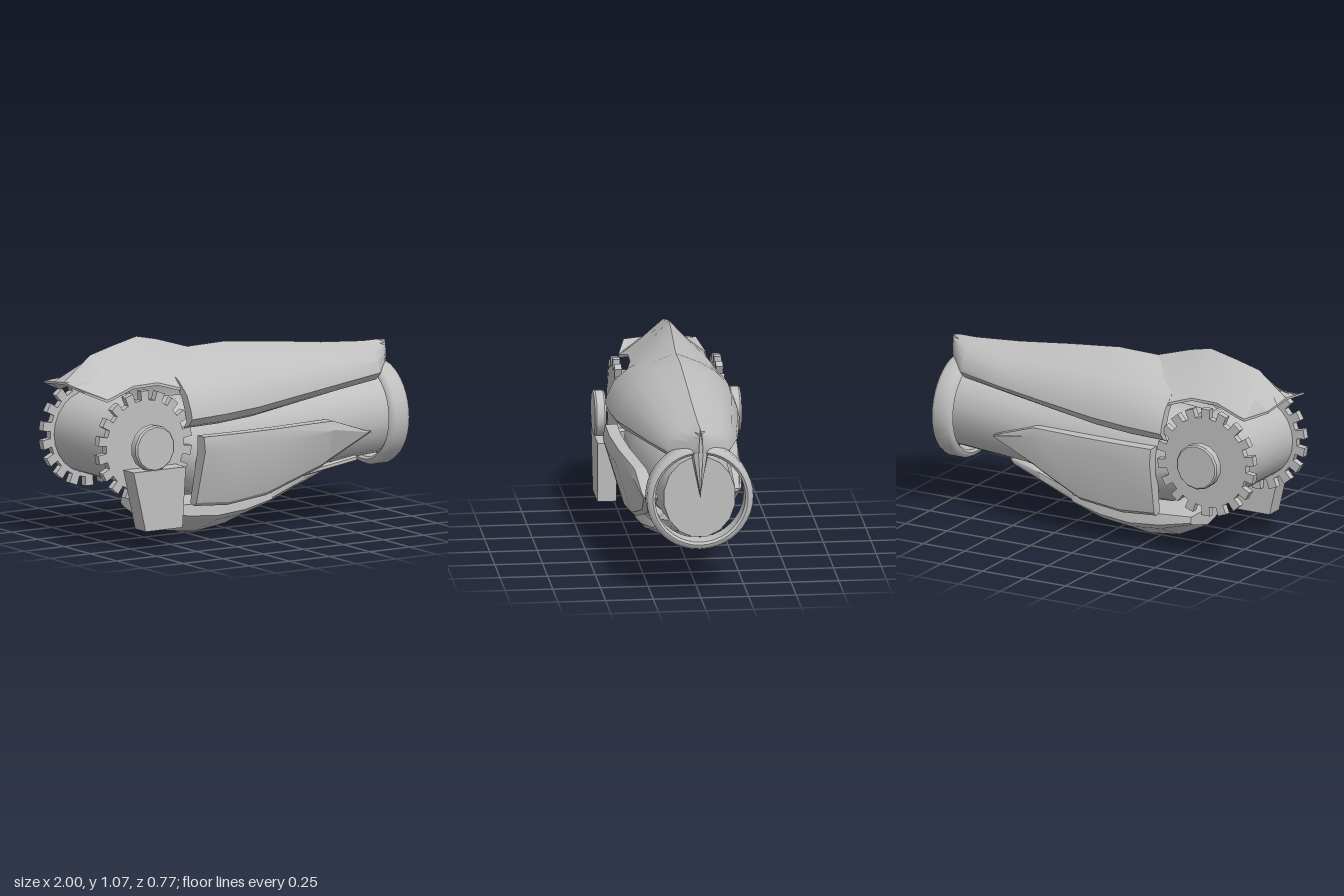
import * as THREE from 'three';
import { toCreasedNormals } from 'three/addons/utils/BufferGeometryUtils.js';

const steel = new THREE.MeshStandardMaterial({ color: 0xc0c0c0 });
steel.name = 'steel grey';

function part(parent, name, geometry, crease = 0.5) {
  const mesh = new THREE.Mesh(toCreasedNormals(geometry, crease), steel);
  mesh.name = name;
  parent.add(mesh);
  return mesh;
}

// Closed skin through cross-sections [x, [[z, y], ...]] ordered by rising x
function loft(sections) {
  const n = sections[0][1].length;
  const pos = [], idx = [];
  const loops = sections.map(([x, pts]) => {
    const flat = pts.map(([z, y]) => new THREE.Vector2(-z, y));
    if (THREE.ShapeUtils.area(flat) < 0) flat.reverse();
    flat.forEach((p) => pos.push(x, p.y, -p.x));
    return flat;
  });
  for (let i = 0; i < loops.length - 1; i++) {
    for (let j = 0; j < n; j++) {
      const a = i * n + j, b = i * n + (j + 1) % n;
      idx.push(a, b, b + n, a, b + n, a + n);
    }
  }
  const last = (loops.length - 1) * n;
  THREE.ShapeUtils.triangulateShape(loops[0], []).forEach(([a, b, c]) => idx.push(c, b, a));
  THREE.ShapeUtils.triangulateShape(loops[loops.length - 1], [])
    .forEach(([a, b, c]) => idx.push(last + a, last + b, last + c));
  const g = new THREE.BufferGeometry();
  g.setAttribute('position', new THREE.Float32BufferAttribute(pos, 3));
  g.setIndex(idx);
  return g.toNonIndexed();
}

// Thin arch: profile holds [fraction of width, fraction of drop] from ridge to rim;
// the inner face is narrowed by inset and lowered by t
function arch(profile, inset, top, rim, front, back, t) {
  const both = (k, dy) => {
    const side = (w) => profile.map(([u, v]) => [u * w * k, top - v * (top - rim) - dy]);
    return [...side(-back).slice(1).reverse(), ...side(front)];
  };
  return [...both(1, 0), ...both(inset, t).reverse()];
}

function ellipse(z, y, rz, ry, n = 16) {
  return Array.from({ length: n }, (_, i) => {
    const a = (i + 0.5) / n * Math.PI * 2;
    return [z + rz * Math.cos(a), y + ry * Math.sin(a)];
  });
}

function gearShape(teeth, outer, root) {
  const pts = [];
  for (let i = 0; i < teeth; i++) {
    [[-0.27, root], [-0.25, outer], [0.25, outer], [0.27, root]].forEach(([o, r]) => {
      const a = (i + o) / teeth * Math.PI * 2 + Math.PI / 2;
      pts.push(new THREE.Vector2(r * Math.cos(a), r * Math.sin(a)));
    });
  }
  return new THREE.Shape(pts);
}

function lathe(points, n) {
  return new THREE.LatheGeometry(points.map(([r, y]) => new THREE.Vector2(r, y)), n);
}

export function createModel() {
  const model = new THREE.Group();
  model.name = 'armouredForearm';

  // Inner arm
  part(model, 'armCore', loft([
    [-0.5, ellipse(0, 0.5, 0.22, 0.22)],
    [-0.35, ellipse(0, 0.47, 0.26, 0.26)],
    [0, ellipse(0, 0.46, 0.26, 0.27)],
    [0.5, ellipse(0, 0.5, 0.22, 0.22)],
    [0.94, ellipse(0, 0.53, 0.19, 0.22)],
  ]));

  // Upper ridged shell, a little wider in front, with an inward-sloping rim
  const shellProfile = [[0, 0], [0.36, 0.14], [0.64, 0.29], [0.86, 0.5], [0.97, 0.75], [1, 0.88],
    [0.91, 1]];
  part(model, 'upperShell', loft([
    [-0.43, 0.945, 0.63, 0.35, 0.32, 0.02], [-0.22, 0.985, 0.635, 0.35, 0.32, 0.02],
    [0, 0.99, 0.65, 0.335, 0.31, 0.02], [0.3, 0.96, 0.685, 0.285, 0.275, 0.02],
    [0.6, 0.925, 0.72, 0.235, 0.235, 0.02], [0.86, 0.905, 0.74, 0.17, 0.17, 0.02],
    [0.95, 0.905, 0.77, 0.08, 0.08, 0.015], [1, 0.9, 0.79, 0.01, 0.01, 0.005],
  ].map(([x, ...rest]) => [x, arch(shellProfile, 0.84, ...rest)])));

  // Elbow crest
  const crestProfile = [[0, 0], [0.5, 0.52], [1, 1]];
  part(model, 'elbowCrest', loft([
    [-1, 0.87, 0.85, 0.19, 0.012], [-0.88, 0.965, 0.80, 0.23, 0.015],
    [-0.84, 0.998, 0.81, 0.225, 0.015], [-0.7, 1.035, 0.85, 0.2, 0.015],
    [-0.55, 1.07, 0.855, 0.205, 0.015], [-0.43, 1.045, 0.82, 0.24, 0.015],
    [-0.2, 0.975, 0.82, 0.25, 0.015],
  ].map(([x, top, rim, w, t]) => [x, arch(crestProfile, 1, top, rim, w, w, t)])), 0.4);

  // Wrist ring and the fang over it
  const ring = part(model, 'wristRing', lathe([
    [0.237, -0.05], [0.25, -0.06], [0.27, -0.055], [0.28, -0.035], [0.28, 0.035],
    [0.27, 0.055], [0.25, 0.06], [0.237, 0.05], [0.237, -0.05],
  ], 40), 0.9);
  ring.rotation.z = -Math.PI / 2;
  ring.position.set(0.92, 0.53, 0);
  const fang = (w) => [[-w, 0.79], [0, 0.895], [w, 0.79], [0, 0.54]];
  part(model, 'wristFang', loft([[0.94, fang(0.05)], [0.97, fang(0.04)], [0.99, fang(0.012)]]));

  // Elbow barrel, gears and hub caps
  const elbow = new THREE.Group();
  elbow.name = 'elbowJoint';
  elbow.position.set(-0.68, 0.545, 0);
  model.add(elbow);
  const barrel = part(elbow, 'elbowBarrel', new THREE.CylinderGeometry(0.22, 0.22, 0.5, 24));
  barrel.rotation.x = Math.PI / 2;
  for (const side of [1, -1]) {
    const gear = part(elbow, side > 0 ? 'frontGear' : 'backGear', new THREE.ExtrudeGeometry(
      gearShape(18, 0.292, 0.243), { depth: 0.038, bevelEnabled: false }));
    gear.position.z = side > 0 ? 0.245 : -0.286;
    const hub = part(elbow, side > 0 ? 'frontHub' : 'backHub', lathe([
      [0, -0.03], [0.114, -0.03], [0.122, -0.02], [0.122, 0.02], [0.114, 0.03], [0, 0.03],
    ], 14), 0.6);
    hub.rotation.x = Math.PI / 2;
    hub.position.z = side * 0.355;
  }

  // Tapered block hanging below the front hub
  const block = new THREE.Shape([[-0.74, 0.11], [-0.51, 0.11], [-0.49, 0.43], [-0.815, 0.43]]
    .map(([x, y]) => new THREE.Vector2(x, y)));
  part(model, 'hangingBlock', new THREE.ExtrudeGeometry(block, { depth: 0.1, bevelEnabled: false }))
    .position.z = 0.28;

  // Side panels, leaning in towards the bottom and the wrist
  const panel = (side, outer, lean, taper, tip) => loft([
    [-0.36, 0.19, 0.57], [-0.15, 0.175, 0.568], [0.1, 0.2, 0.565],
    [tip - 0.29, 0.31, 0.562], [tip - 0.25, 0.333, 0.56], [tip, 0.463, 0.475],
  ].map(([x, bottom, top]) => {
    const knee = bottom + 0.8 * (top - bottom);
    const face = outer - taper * Math.max(0, x + 0.05);
    const low = face - (knee - bottom) * lean;
    return [x, [[face - 0.012, top], [face, knee], [low, bottom + 0.02], [low - 0.025, bottom],
      [low - 0.06, bottom + 0.01], [face - 0.075, knee], [face - 0.075, top]]
      .map(([z, y]) => [side * z, y])];
  }));
  part(model, 'frontPanel', panel(1, 0.368, 0.28, 0.12, 0.74));
  part(model, 'backPanel', panel(-1, 0.315, 0.16, 0.09, 0.62));

  // Boat-shaped keel under the arm
  const keel = (bottom, w, h) => [[0, bottom], [w * 0.9, bottom + h * 0.5], [w, bottom + h * 0.65],
    [w * 0.96, bottom + h], [-w * 0.96, bottom + h], [-w, bottom + h * 0.65],
    [-w * 0.9, bottom + h * 0.5]];
  part(model, 'keel', loft([
    [-0.53, keel(0.1, 0.18, 0.09)], [-0.36, keel(0.02, 0.215, 0.17)],
    [-0.18, keel(0, 0.22, 0.18)], [0, keel(0.025, 0.205, 0.16)],
    [0.19, keel(0.1, 0.165, 0.09)], [0.23, keel(0.15, 0.13, 0.07)],
  ]), 0.7);

  // Paired spindles running from the keel towards the wrist
  for (const s of [1, -1]) {
    part(model, s > 0 ? 'frontSpindle' : 'backSpindle', loft([
      [-0.05, ellipse(s * 0.07, 0.13, 0.06, 0.05, 8)], [0.2, ellipse(s * 0.075, 0.185, 0.08, 0.06, 8)],
      [0.42, ellipse(s * 0.055, 0.245, 0.06, 0.045, 8)], [0.6, ellipse(s * 0.03, 0.28, 0.035, 0.028, 8)],
      [0.63, ellipse(s * 0.025, 0.285, 0.02, 0.016, 8)],
    ]), 0.9);
  }
  part(model, 'wristRod', loft([
    [0.3, ellipse(0.21, 0.28, 0.025, 0.018, 6)], [0.69, ellipse(0.19, 0.33, 0.02, 0.016, 6)],
  ]));
  return model;
}
